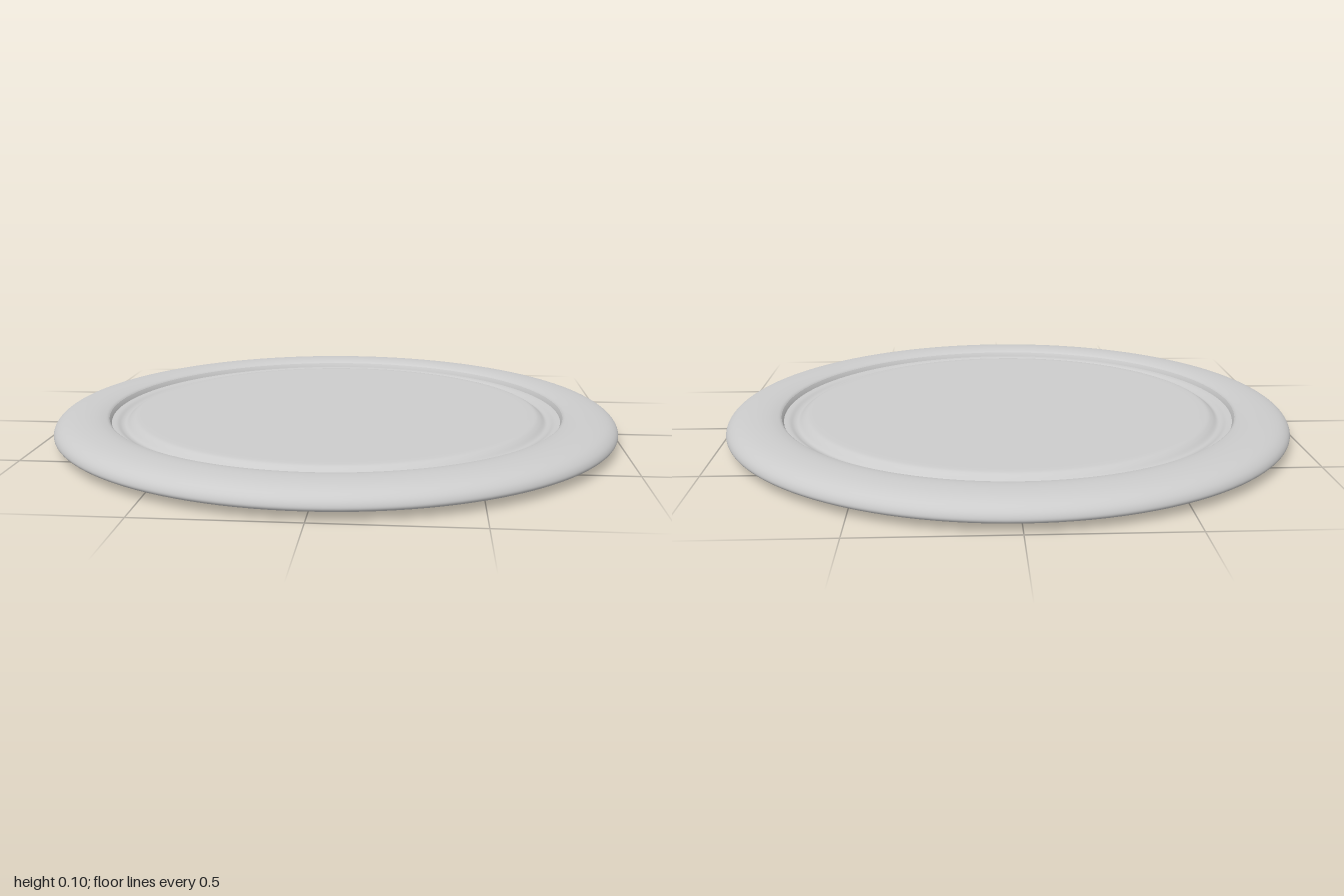
import * as THREE from 'three';

const material = new THREE.MeshStandardMaterial({ color: 0xcccccc });

// Revolve a smooth curve through [radius, height] points
function turned(name, points, samples) {
  const curve = new THREE.SplineCurve(points.map(([r, y]) => new THREE.Vector2(r, y)));
  const profile = curve.getPoints(samples);
  profile.forEach((p) => { p.x = Math.max(p.x, 0); });
  const mesh = new THREE.Mesh(new THREE.LatheGeometry(profile, 128), material);
  mesh.name = name;
  return mesh;
}

export function createModel() {
  const group = new THREE.Group();
  group.name = 'disc';

  // Shallow domed underside
  group.add(turned('underside', [[0, 0], [0.32, 0.004], [0.65, 0.011], [0.9, 0.019], [0.975, 0.025]], 20));

  // Rounded outer rim, rolling over to the inner edge
  group.add(turned('rim', [
    [0.975, 0.025], [0.993, 0.031], [1, 0.043], [0.992, 0.062], [0.97, 0.079],
    [0.935, 0.09], [0.89, 0.095], [0.85, 0.094], [0.82, 0.088], [0.81, 0.082],
  ], 45));

  // Steep step from the rim down to the groove
  group.add(turned('rimStep', [[0.81, 0.082], [0.806, 0.074], [0.803, 0.066]], 4));

  // Soft groove rising to the flat centre
  group.add(turned('groove', [
    [0.803, 0.066], [0.785, 0.064], [0.768, 0.057], [0.753, 0.057],
    [0.735, 0.07], [0.718, 0.078], [0.69, 0.08],
  ], 30));

  // Flat centre panel
  group.add(turned('centrePanel', [[0.69, 0.08], [0.35, 0.08], [0, 0.08]], 4));

  return group;
}
